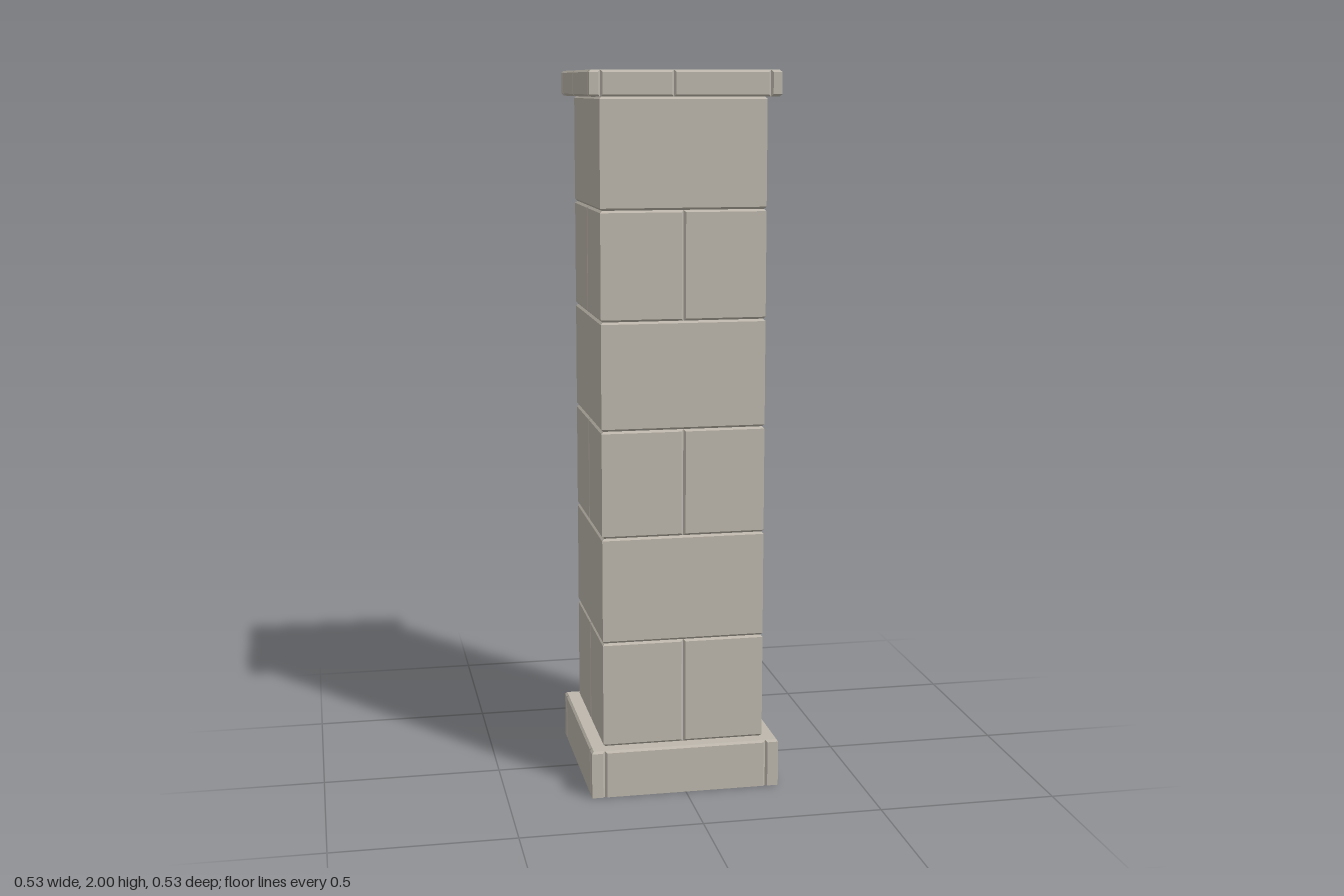
import * as THREE from 'three';
import { mergeGeometries } from 'three/addons/utils/BufferGeometryUtils.js';

const G = 0.006; // depth and half width of the V joints

// Stone face looking along +z: a raised rectangle whose edges slope back to the joints.
// edges = [bottom, right, top, left]: 'joint' bevels, 'corner' mitres round a sharp corner, 'flush' ends flat.
function stoneFace(x0, x1, y0, y1, z, edges) {
  const inset = edges.map((e) => (e === 'joint' ? G : 0));
  const back = edges.map((e) => (e === 'corner' ? G : 0));
  const corners = (d, depth) => [
    [x0 + d[3], y0 + d[0], depth], [x1 - d[1], y0 + d[0], depth],
    [x1 - d[1], y1 - d[2], depth], [x0 + d[3], y1 - d[2], depth],
  ];
  const front = corners(inset, z);
  const deep = corners(back, z - G);
  const pos = [];
  const quad = (a, b, c, d) => pos.push(...a, ...b, ...c, ...a, ...c, ...d);
  quad(...front);
  edges.forEach((e, i) => {
    const j = (i + 1) % 4;
    if (e === 'joint') quad(deep[i], deep[j], front[j], front[i]);
  });
  const geo = new THREE.BufferGeometry();
  geo.setAttribute('position', new THREE.Float32BufferAttribute(pos, 3));
  geo.computeVertexNormals();
  return geo;
}

// One row of stones along a wall of half width w, split at the given seams
function row(w, y0, y1, seams, bottom) {
  const xs = [-w, ...seams, w];
  return xs.slice(1).map((x1, i) => stoneFace(xs[i], x1, y0, y1, w, [
    bottom, i === xs.length - 2 ? 'corner' : 'joint', 'joint', i === 0 ? 'corner' : 'joint',
  ]));
}

// Flat square ring joining two walls, facing up or down
function ring(outer, inner, y, up) {
  const square = (s, P) => new P([[-s, -s], [s, -s], [s, s], [-s, s]].map((p) => new THREE.Vector2(...p)));
  const shape = square(outer, THREE.Shape);
  shape.holes.push(square(inner, THREE.Path));
  const geo = new THREE.ShapeGeometry(shape).toNonIndexed();
  geo.deleteAttribute('uv');
  return geo.rotateX(up ? -Math.PI / 2 : Math.PI / 2).translate(0, y, 0);
}

// Four walls round the pillar; side 0 is the front, then left, back, right
function around(makeRow) {
  return [0, 1, 2, 3].flatMap((k) => makeRow(k).map((g) => g.rotateY(k * Math.PI / 2)));
}

export function createModel() {
  const model = new THREE.Group();
  model.name = 'stonePillar';
  const stone = new THREE.MeshStandardMaterial({ color: 0xbdb7ac, side: THREE.DoubleSide });
  stone.name = 'warm grey stone';
  const add = (name, geos) => {
    const mesh = new THREE.Mesh(mergeGeometries(geos), stone);
    mesh.name = name;
    model.add(mesh);
  };

  const shaftW = 0.228, baseW = 0.267, capW = 0.26;
  const baseTop = 0.135, capBottom = 1.93, top = 2;

  // Hollow plinth with narrow corner stones and a ledge
  add('base', [
    ...around(() => row(baseW, 0, baseTop, [-0.23, 0.23], 'flush')),
    ring(baseW - G, shaftW - G, baseTop, true),
  ]);

  // Six courses, every other one split by a middle joint
  const step = (capBottom - baseTop) / 6;
  for (let i = 0; i < 6; i++) {
    const y = baseTop + i * step;
    add('course' + (i + 1), around(() => row(shaftW, y, y + step, i % 2 ? [] : [0], 'joint')));
  }

  // Cap edge stones with an off-centre joint
  const seam = -0.033;
  add('capEdge', [
    ...around((k) => row(capW, capBottom, top, [-0.23, k === 0 || k === 3 ? seam : -seam, 0.23], 'joint')),
    ring(capW - G, shaftW - G, capBottom, false),
  ]);

  // Four slabs on top, joined in a cross
  const e = capW - G, slabs = [];
  for (const right of [false, true]) {
    for (const rear of [false, true]) {
      slabs.push(stoneFace(
        right ? seam : -e, right ? e : seam, rear ? -seam : -e, rear ? e : -seam, top,
        [rear ? 'joint' : 'flush', right ? 'flush' : 'joint', rear ? 'flush' : 'joint', right ? 'joint' : 'flush'],
      ).rotateX(-Math.PI / 2));
    }
  }
  add('capTop', slabs);
  return model;
}
